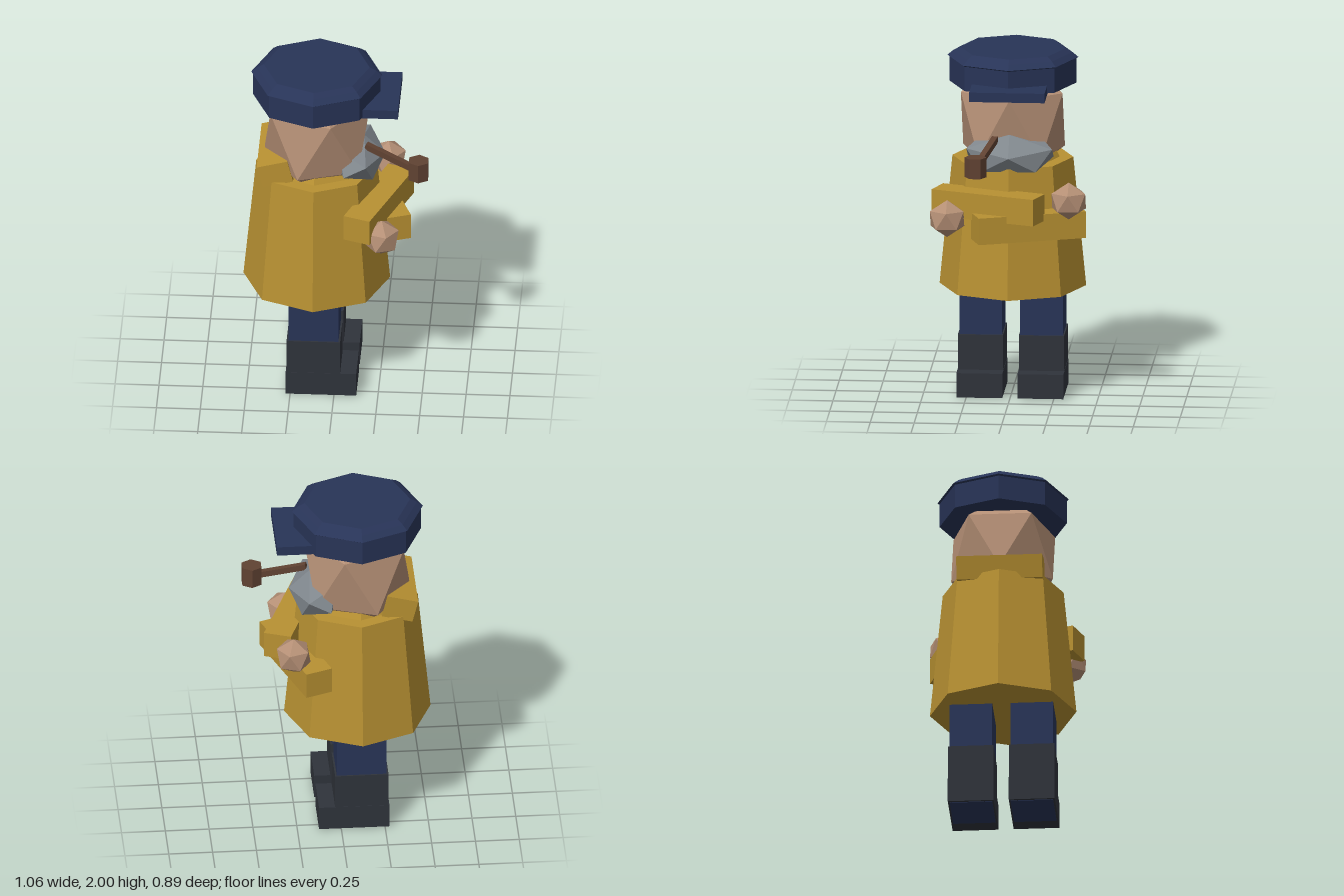
import * as THREE from 'three';

const mat = (color) => new THREE.MeshStandardMaterial({ color, flatShading: true });

export function createModel() {
  const model = new THREE.Group();
  const gold = mat(0xb89132), navy = mat(0x283457), skin = mat(0xb48f75);
  const grey = mat(0x80878d), wood = mat(0x604232), rubber = mat(0x2f333b);
  const cx = -0.115; // axis of the body, head and hat

  function add(name, geometry, material, x, y, z) {
    const mesh = new THREE.Mesh(geometry, material);
    mesh.name = name;
    mesh.position.set(x, y, z);
    model.add(mesh);
    return mesh;
  }
  // Box given by its extents
  const block = (name, material, [x0, x1], [y0, y1], [z0, z1]) =>
    add(name, new THREE.BoxGeometry(x1 - x0, y1 - y0, z1 - z0), material,
      (x0 + x1) / 2, (y0 + y1) / 2, (z0 + z1) / 2);
  // Icosahedron standing on a corner, scaled to the given radii
  const gem = (rx, ry, rz) => new THREE.IcosahedronGeometry(1, 0)
    .rotateZ(-Math.atan(2 / (1 + Math.sqrt(5)))).scale(rx, ry, rz);

  // Legs and boots
  for (const s of [1, -1]) {
    const side = s > 0 ? 'left' : 'right';
    const span = (a, b) => (s > 0 ? [a, b] : [-b, -a]);
    block(side + 'TrouserLeg', navy, [-0.26, 0.025], [0, 0.7], span(0.052, 0.295));
    block(side + 'BootShaft', rubber, [-0.27, 0.035], [0.003, 0.35], span(0.045, 0.303));
    block(side + 'BootFoot', rubber, [-0.275, 0.127], [0.003, 0.145], span(0.043, 0.305));
  }

  // Coat with neck ring and turned-up back collar
  add('coat', new THREE.CylinderGeometry(0.345, 0.418, 0.75, 8), gold, cx, 0.99, 0);
  add('neckRing', new THREE.CylinderGeometry(0.24, 0.27, 0.06, 8), gold, cx, 1.39, 0);
  add('backCollar', new THREE.BoxGeometry(0.18, 0.135, 0.49), gold, -0.34, 1.417, 0).rotation.z = 0.25;

  // Folded sleeves and hands
  for (const [side, s, armY, handY] of [['left', -1, 1.047, 1.2], ['right', 1, 1.162, 1.085]]) {
    add(side + 'Sleeve', new THREE.BoxGeometry(0.16, 0.155, 0.634), gold, 0.245, armY, s * 0.115)
      .rotation.y = -s * 0.354;
    add(side + 'Hand', gem(0.108, 0.108, 0.113), skin, 0.275, handY, s * 0.347);
  }

  // Head and beard
  add('head', gem(0.341, 0.39, 0.341), skin, cx, 1.583, 0);
  add('beard', gem(0.17, 0.12, 0.288), grey, 0.115, 1.44, 0).rotation.z = -0.35;

  // Pipe
  add('pipeBowl', new THREE.CylinderGeometry(0.063, 0.063, 0.115, 6), wood, 0.475, 1.437, 0.17);
  const from = new THREE.Vector3(0.17, 1.53, 0.08), to = new THREE.Vector3(0.45, 1.435, 0.165);
  const mid = from.clone().lerp(to, 0.5);
  add('pipeStem', new THREE.BoxGeometry(0.035, 0.035, from.distanceTo(to)), wood, mid.x, mid.y, mid.z)
    .lookAt(to);

  // Cap and visor
  const capProfile = [[0, 1.8], [0.363, 1.8], [0.363, 1.943], [0.374, 1.95], [0.34, 1.978], [0.302, 2], [0, 2]]
    .map(([r, y]) => new THREE.Vector2(r, y));
  add('cap', new THREE.LatheGeometry(capProfile, 8), navy, cx, 0, 0);
  block('visor', navy, [0.07, 0.36], [1.79, 1.845], [-0.215, 0.215]);

  return model;
}
